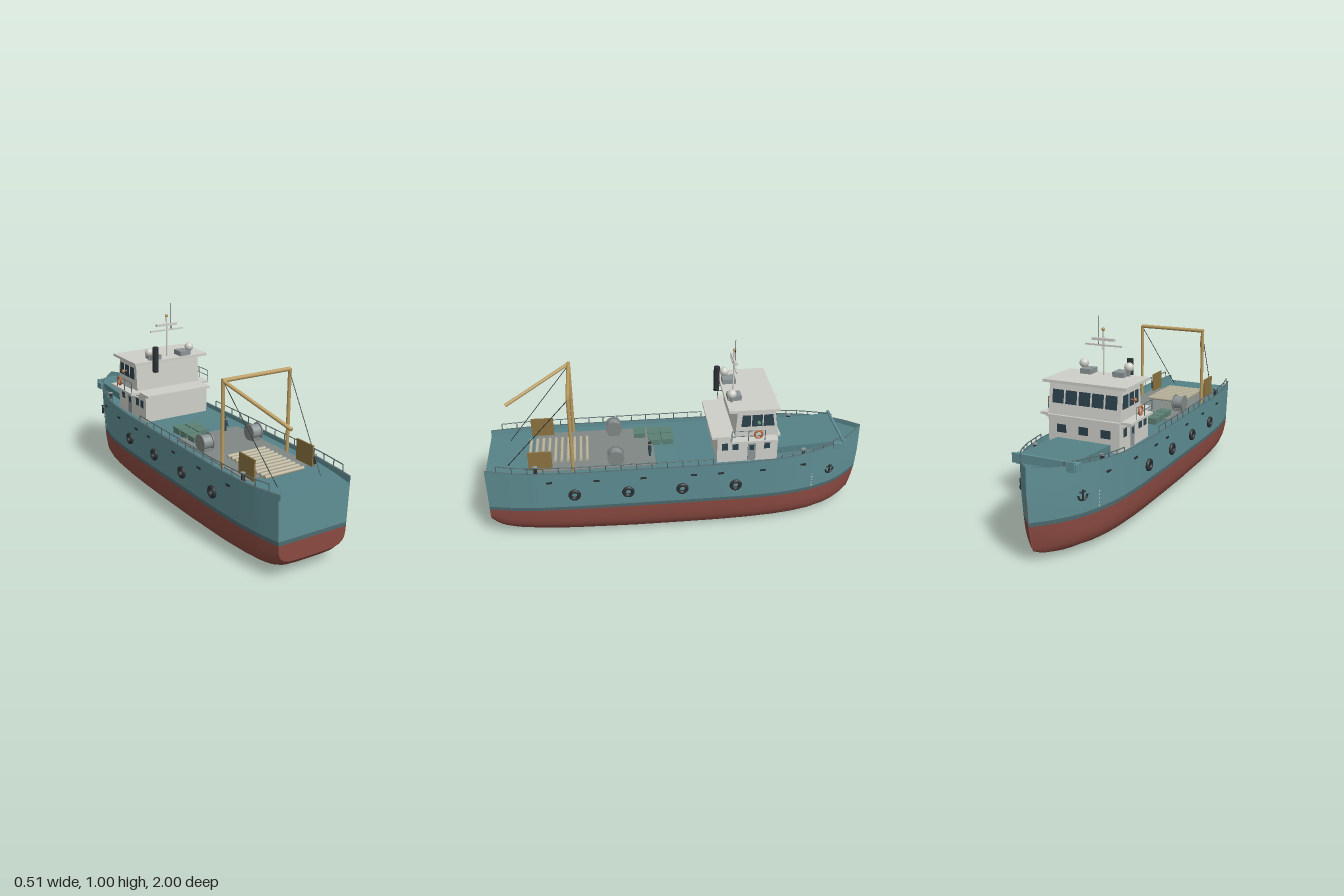
import * as THREE from 'three';

const mat = (color) => new THREE.MeshStandardMaterial({ color, side: THREE.DoubleSide });
const M = {
  teal: mat(0x5f8f94), red: mat(0x8a4a41), band: mat(0x4d6b70), deck: mat(0x558287), grey: mat(0x7f8785),
  white: mat(0xcfcfc9), wood: mat(0xb99b5f), board: mat(0x8a713f), dark: mat(0x2c3033), glass: mat(0x2b414c),
  steel: mat(0x8b9496), log: mat(0xbab49c), crate: mat(0x5c8074), orange: mat(0xb5693f), green: mat(0x4f8a66),
  rail: mat(0x55696c), navy: mat(0x2f4552), skin: mat(0xb98d70),
};

// piecewise interpolation of [z, value] pairs with z rising
const lookup = (t) => (z) => {
  let i = 1;
  while (i < t.length - 1 && z > t[i][0]) i++;
  const [a, b] = [t[i - 1], t[i]];
  return THREE.MathUtils.lerp(a[1], b[1], THREE.MathUtils.clamp((z - a[0]) / (b[0] - a[0]), 0, 1));
};
const beam = lookup([[-1, 0.002], [-0.95, 0.053], [-0.9, 0.097], [-0.85, 0.132], [-0.8, 0.16], [-0.7, 0.197], [-0.6, 0.221],
  [-0.5, 0.236], [-0.35, 0.245], [0, 0.248], [0.55, 0.247], [0.75, 0.24], [0.88, 0.224], [1, 0.2]]);
const keel = lookup([[-1, 0.055], [-0.95, 0.033], [-0.85, 0.022], [-0.6, 0.01], [-0.2, 0], [0.25, 0], [0.6, 0.01],
  [0.85, 0.025], [0.93, 0.038], [0.97, 0.055], [1, 0.088]]);
const sheer = lookup([[-1, 0.455], [-0.85, 0.438], [-0.6, 0.422], [-0.3, 0.413], [0.6, 0.412], [0.85, 0.416], [1, 0.424]]);
const deckY = lookup([[-1, 0.43], [-0.8, 0.412], [-0.5, 0.395], [0, 0.39], [1, 0.392]]);

// hull point: f = share of the beam, stem raked towards the keel
function hullPoint(z, f, y) {
  const b = Math.max(0, (-z - 0.7) / 0.3);
  const lift = Math.max(0, 1 - y / 0.3);
  return [beam(z) * f * (1 - 0.15 * b * lift), y, z + 0.055 * b * b * lift * lift];
}
const bottomProfile = [[0, 0], [0.35, 0.005], [0.62, 0.03], [0.78, 0.12], [0.87, 0.26], [0.92, 0.43], [0.945, 0.65], [0.955, 1]];
const bands = [
  ['hullBottom', M.red, (z) => bottomProfile.map(([f, u]) => hullPoint(z, f, keel(z) + u * (0.18 - keel(z))))],
  ['waterlineStripe', M.band, (z) => [hullPoint(z, 0.955, 0.18), hullPoint(z, 0.96, 0.2)]],
  ['hullSide', M.teal, (z) => [0, 0.35, 0.7, 1].map((u) => hullPoint(z, 0.96 + 0.04 * u, 0.2 + u * (sheer(z) - 0.2)))],
];
const stations = [];
for (let i = 0; i <= 80; i++) stations.push(-1 + i / 40);

// surface through rows of points
function grid(rows, flip = false) {
  const n = rows[0].length, idx = [];
  for (let i = 0; i < rows.length - 1; i++) for (let j = 0; j < n - 1; j++) {
    const a = i * n + j, b = a + 1, c = a + n, d = c + 1;
    idx.push(...(flip ? [a, c, b, b, c, d] : [a, b, c, b, d, c]));
  }
  const g = new THREE.BufferGeometry();
  g.setAttribute('position', new THREE.Float32BufferAttribute(rows.flat(2), 3));
  g.setIndex(idx);
  g.computeVertexNormals();
  return g;
}

export function createModel() {
  const root = new THREE.Group();
  const add = (name, geo, m, x = 0, y = 0, z = 0) => {
    const mesh = new THREE.Mesh(geo, m);
    mesh.name = name;
    mesh.position.set(x, y, z);
    root.add(mesh);
    return mesh;
  };
  const box = (name, m, w, h, d, x, y, z) => add(name, new THREE.BoxGeometry(w, h, d), m, x, y, z);
  const ball = (name, m, r, x, y, z) => add(name, new THREE.SphereGeometry(r, 20, 14), m, x, y, z);
  const rod = (name, m, r, a, b, seg = 10) => {
    const p = new THREE.Vector3(...a), q = new THREE.Vector3(...b), dir = q.clone().sub(p);
    const mesh = add(name, new THREE.CylinderGeometry(r, r, dir.length(), seg), m);
    mesh.position.copy(p).add(q).multiplyScalar(0.5);
    mesh.quaternion.setFromUnitVectors(new THREE.Vector3(0, 1, 0), dir.normalize());
    return mesh;
  };
  const ring = (name, m, r, t, x, y, z) => {
    const mesh = add(name, new THREE.TorusGeometry(r, t, 10, 24), m, x, y, z);
    mesh.rotation.y = Math.PI / 2;
    return mesh;
  };
  // side outline of [z, y] points, extruded across the ship
  const slab = (name, m, pts, w) => {
    const s = new THREE.Shape(pts.map(([z, y]) => new THREE.Vector2(z, y)));
    const g = new THREE.ExtrudeGeometry(s, { depth: w, bevelEnabled: false });
    return add(name, g.translate(0, 0, -w / 2).rotateY(-Math.PI / 2), m);
  };

  // hull bands with transom, and bulwark inner faces
  for (const [name, m, section] of bands) {
    for (const s of [1, -1]) add(name, grid(stations.map((z) => section(z).map(([x, y, k]) => [s * x, y, k])), s < 0), m);
    add(name + 'Transom', grid(section(1).map(([x, y]) => [[-x, Math.min(y, 0.392), 1], [x, Math.min(y, 0.392), 1]])), m);
  }
  for (const s of [1, -1]) {
    const inner = (z) => Math.max(0, beam(z) - 0.01);
    add('bulwarkCap', grid(stations.map((z) => [[s * beam(z), sheer(z), z], [s * inner(z), sheer(z), z]]), s < 0), M.rail);
    add('bulwarkInside', grid(stations.map((z) => [[s * inner(z), sheer(z), z], [s * inner(z), deckY(z), z]]), s < 0), M.teal);
  }
  add('mainDeck', grid(stations.map((z) => [[-beam(z) * 0.99, deckY(z), z], [beam(z) * 0.99, deckY(z), z]]), true), M.deck);
  box('workDeck', M.grey, 0.37, 0.008, 0.62, 0, 0.392, 0.44);
  slab('foredeck', M.deck, [[-0.5, 0.39], [-0.5, 0.432], [-0.86, 0.452], [-0.86, 0.41]], 0.29);
  box('breakwater', M.teal, 0.32, 0.045, 0.012, 0, 0.438, -0.862);

  // deckhouse, bridge deck and wheelhouse
  box('deckhouse', M.white, 0.385, 0.15, 0.315, 0, 0.462, -0.343);
  box('deckhouseRoof', M.white, 0.39, 0.012, 0.355, 0, 0.54, -0.333);
  box('bridgeWings', M.white, 0.495, 0.012, 0.24, 0, 0.54, -0.368);
  slab('wheelhouse', M.white, [[-0.275, 0.545], [-0.285, 0.7], [-0.475, 0.7], [-0.498, 0.545]], 0.39);
  box('wheelhouseRoof', M.white, 0.45, 0.014, 0.26, 0, 0.706, -0.365);
  for (let i = -2; i <= 2; i++) box('frontWindow', M.glass, 0.06, 0.066, 0.006, i * 0.072, 0.634, -0.486).rotation.x = 0.147;
  for (const x of [-0.12, 0, 0.12]) box('houseFrontWindow', M.glass, 0.05, 0.04, 0.006, x, 0.48, -0.501);
  for (const s of [1, -1]) {
    slab('sideWindows', M.glass, [[-0.305, 0.603], [-0.31, 0.668], [-0.465, 0.668], [-0.475, 0.603]], 0.006).position.x = s * 0.195;
    for (const z of [-0.355, -0.415]) box('windowPost', M.white, 0.008, 0.07, 0.006, s * 0.196, 0.635, z);
    for (const z of [-0.225, -0.28, -0.445]) box('houseWindow', M.glass, 0.006, 0.04, 0.03, s * 0.193, 0.485, z);
    box('houseDoor', M.steel, 0.006, 0.1, 0.042, s * 0.193, 0.448, -0.365);
    box('doorWindow', M.glass, 0.008, 0.03, 0.024, s * 0.193, 0.475, -0.365);
    // sloped brackets under the bridge wings
    for (const z of [-0.27, -0.47]) rod('wingBracket', M.white, 0.004, [s * 0.19, 0.512, z], [s * 0.244, 0.537, z], 6);
    for (const y of [0.575, 0.605]) rod('wingRail', M.rail, 0.002, [s * 0.243, y, -0.25], [s * 0.243, y, -0.42], 6);
    for (const z of [-0.25, -0.335, -0.42]) rod('wingRailPost', M.rail, 0.002, [s * 0.243, 0.54, z], [s * 0.243, 0.605, z], 6);
    ring('lifeRing', M.orange, 0.02, 0.005, s * 0.247, 0.585, -0.385);
    ball('navigationLight', s > 0 ? M.green : M.orange, 0.01, s * 0.22, 0.635, -0.39);
    rod('lightBracket', M.steel, 0.003, [s * 0.19, 0.635, -0.39], [s * 0.22, 0.635, -0.39], 6);
    // roof equipment
    box('roofLocker', M.steel, 0.06, 0.026, 0.07, s * 0.09, 0.726, -0.28);
    rod('domeStand', M.steel, 0.008, [s * 0.125, 0.71, -0.262], [s * 0.125, 0.74, -0.262]);
    ball('satelliteDome', M.white, 0.024, s * 0.125, 0.757, -0.262);
  }
  rod('funnel', M.dark, 0.016, [-0.11, 0.655, -0.22], [-0.11, 0.792, -0.22], 20);
  rod('mast', M.white, 0.004, [0, 0.71, -0.29], [0, 0.935, -0.29]);
  ball('mastLight', M.wood, 0.009, 0, 0.94, -0.29);
  box('mastYard', M.white, 0.2, 0.008, 0.01, 0, 0.861, -0.29);
  box('radarBar', M.white, 0.125, 0.012, 0.016, 0, 0.89, -0.29);
  rod('antenna', M.dark, 0.0015, [0.028, 0.86, -0.29], [0.028, 1.005, -0.29], 6);

  // stern gantry with boom and stays
  for (const s of [1, -1]) {
    rod('gantryPost', M.wood, 0.009, [s * 0.19, 0.39, 0.555], [s * 0.19, 0.815, 0.555], 14);
    rod('gantryStay', M.dark, 0.002, [s * 0.187, 0.805, 0.555], [s * 0.122, 0.4, 0.89], 6);
    box('trawlBoard', M.board, 0.008, 0.105, 0.12, s * 0.166, 0.448, 0.72);
    // winches
    rod('winchDrum', M.steel, 0.036, [s * 0.12, 0.438, 0.335], [s * 0.172, 0.438, 0.335], 24);
    for (const x of [0.119, 0.173]) rod('winchFlange', M.grey, 0.043, [s * (x - 0.003), 0.438, 0.335], [s * (x + 0.003), 0.438, 0.335], 24);
    box('winchBase', M.grey, 0.05, 0.02, 0.06, s * 0.146, 0.4, 0.335);
  }
  rod('gantryBeam', M.wood, 0.01, [-0.195, 0.813, 0.555], [0.19, 0.813, 0.555], 14);
  rod('boom', M.wood, 0.009, [-0.19, 0.812, 0.555], [-0.055, 0.655, 0.89], 14);

  // deck cargo
  for (let i = 0; i < 10; i++) rod('deckTimber', M.log, 0.009, [-0.11, 0.404, 0.483 + i * 0.033], [0.11, 0.404, 0.483 + i * 0.033], 10);
  for (const [x, z] of [[-0.112, 0.052], [-0.04, 0.052], [-0.112, 0.123], [-0.04, 0.123], [-0.112, 0.197]]) {
    box('crate', M.crate, 0.06, 0.028, 0.06, x, 0.405, z);
    box('crateLid', M.crate, 0.064, 0.007, 0.064, x, 0.421, z);
  }

  // deckhand
  for (const s of [1, -1]) {
    rod('deckhandLeg', M.navy, 0.006, [0.088 + s * 0.008, 0.392, 0.155], [0.088 + s * 0.007, 0.425, 0.155], 8);
    rod('deckhandArm', M.navy, 0.004, [0.088 + s * 0.013, 0.45, 0.155], [0.088 + s * 0.018, 0.422, 0.16], 8);
  }
  box('deckhandBody', M.navy, 0.026, 0.034, 0.016, 0.088, 0.437, 0.155);
  ball('deckhandHead', M.skin, 0.008, 0.088, 0.463, 0.155);
  rod('deckhandCap', M.dark, 0.0085, [0.088, 0.467, 0.155], [0.088, 0.473, 0.155], 12);

  // fittings along both sides
  for (const s of [1, -1]) {
    const side = (z, y) => s * beam(z) * (0.96 + 0.04 * (y - 0.2) / 0.21);
    for (const z of [0.555, 0.28, 0, -0.28]) ring('tyreFender', M.dark, 0.023, 0.0095, side(z, 0.28) + s * 0.006, 0.28, z);
    for (const z of [0.68, 0.44, 0.2, -0.06, -0.2, -0.42, -0.64]) box('scupper', M.dark, 0.008, 0.01, 0.03, side(z, 0.36), 0.36, z);
    for (let i = 0; i < 5; i++) box('draughtMark', M.white, 0.005, 0.006, 0.005, side(-0.7, 0.21 + i * 0.018), 0.21 + i * 0.018, -0.7);
    for (const [x, z] of [[0.205, 0.745], [0.18, -0.645]]) {
      rod('bollard', M.dark, 0.009, [s * x, 0.39, z], [s * x, 0.435, z], 12);
      rod('bollardTop', M.steel, 0.012, [s * x, 0.432, z], [s * x, 0.438, z], 12);
    }
    // anchor
    const ax = side(-0.8, 0.29) + s * 0.006;
    rod('anchorShank', M.dark, 0.005, [ax, 0.268, -0.8], [ax + s * 0.002, 0.315, -0.8], 8);
    rod('anchorStock', M.dark, 0.004, [ax - s * 0.006, 0.305, -0.815], [ax + s * 0.006, 0.305, -0.785], 8);
    const fluke = add('anchorFlukes', new THREE.TorusGeometry(0.024, 0.005, 8, 16, Math.PI), M.dark, ax, 0.291, -0.8);
    fluke.rotation.set(0, Math.PI / 2 + s * 0.45, Math.PI, 'YXZ');
    // railings following the gunwale
    for (const [from, to, h, n] of [[0.94, -0.16, 0.034, 14], [-0.52, -0.87, 0.02, 6]]) {
      const top = [];
      for (let i = 0; i <= n; i++) {
        const z = from + (to - from) * i / n, x = s * (beam(z) - 0.005);
        top.push(new THREE.Vector3(x, sheer(z) + h, z));
        rod('railPost', M.rail, 0.0025, [x, sheer(z) - 0.005, z], [x, sheer(z) + h, z], 6);
      }
      add('handRail', new THREE.TubeGeometry(new THREE.CatmullRomCurve3(top), 40, 0.003, 6), M.rail);
    }
    // bow fairlead at the breakwater end
    box('fairlead', M.teal, 0.03, 0.035, 0.05, s * 0.15, 0.43, -0.835);
  }
  return root;
}
